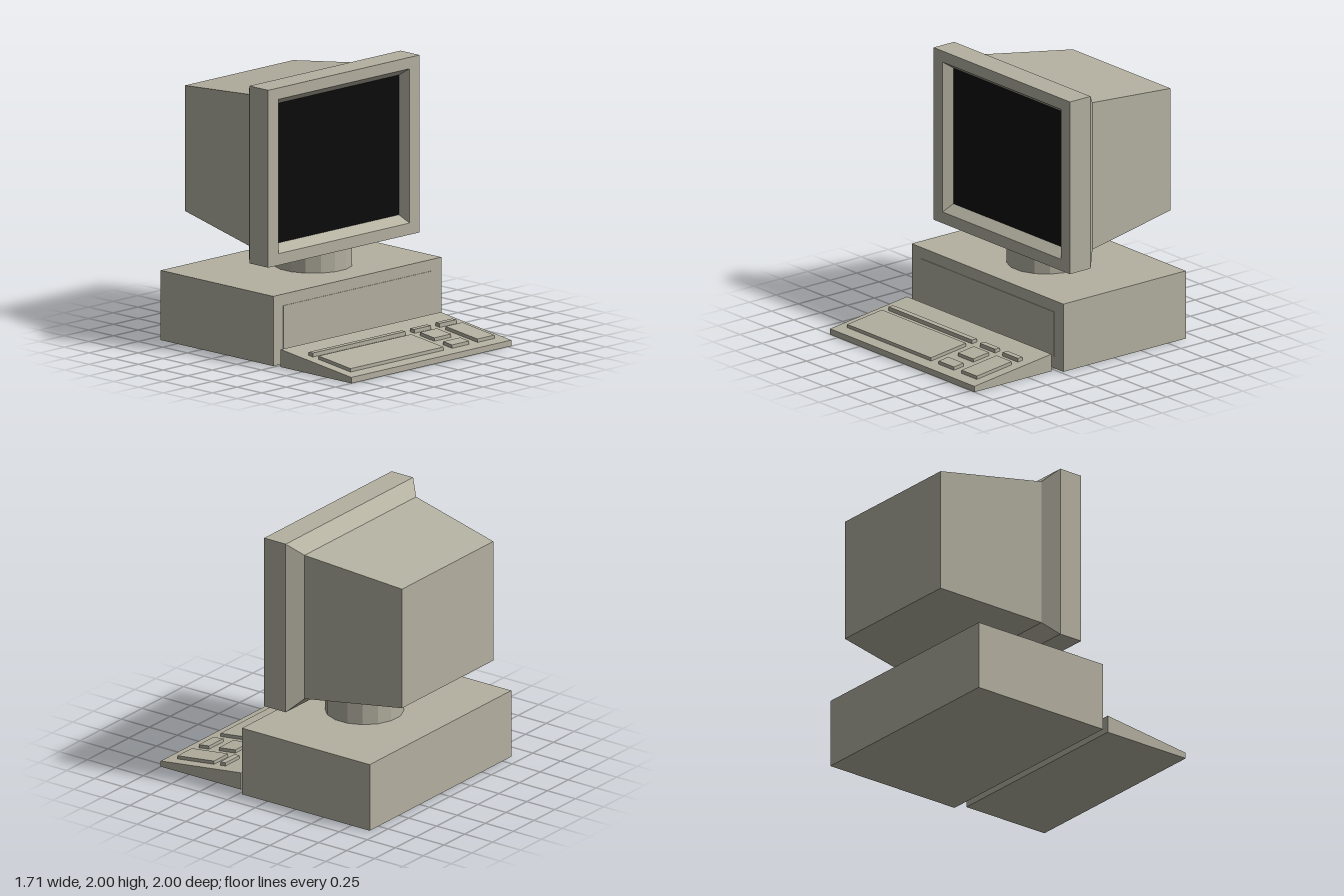
import * as THREE from 'three';

const casing = new THREE.MeshStandardMaterial({ color: 0xb4b1a1 });
casing.name = 'beige casing';
const glass = new THREE.MeshStandardMaterial({ color: 0x0b0b0b });
glass.name = 'black glass';

function add(parent, name, geometry, material = casing) {
  const mesh = new THREE.Mesh(geometry, material);
  mesh.name = name;
  parent.add(mesh);
  return mesh;
}

function box(x0, x1, y0, y1, z0, z1) {
  return new THREE.BoxGeometry(x1 - x0, y1 - y0, z1 - z0)
    .translate((x0 + x1) / 2, (y0 + y1) / 2, (z0 + z1) / 2);
}

// Flat-faced skin over rectangular rings [x0, x1, y0, y1, z], closed at the last one
function loftRings(rings) {
  const loops = rings.map(([x0, x1, y0, y1, z]) =>
    [[x0, y0, z], [x1, y0, z], [x1, y1, z], [x0, y1, z]]);
  const pos = [];
  const quad = (a, b, c, d) => pos.push(...a, ...b, ...c, ...a, ...c, ...d);
  for (let r = 0; r < loops.length - 1; r++) {
    for (let i = 0; i < 4; i++) {
      const j = (i + 1) % 4;
      quad(loops[r][i], loops[r + 1][i], loops[r + 1][j], loops[r][j]);
    }
  }
  const [a, b, c, d] = loops[loops.length - 1];
  quad(d, c, b, a);
  const geometry = new THREE.BufferGeometry();
  geometry.setAttribute('position', new THREE.Float32BufferAttribute(pos, 3));
  geometry.computeVertexNormals();
  return geometry;
}

// Box whose top and bottom follow height functions of z
function slopedBox(x0, x1, z0, z1, bottom, top) {
  const geometry = box(x0, x1, 0, 1, z0, z1);
  const p = geometry.attributes.position;
  for (let i = 0; i < p.count; i++) {
    p.setY(i, (p.getY(i) > 0.5 ? top : bottom)(p.getZ(i)));
  }
  const flat = geometry.toNonIndexed();
  flat.computeVertexNormals();
  return flat;
}

export function createModel() {
  const model = new THREE.Group();
  model.name = 'desktopComputer';

  // System unit with a shallow front panel
  const unit = new THREE.Group();
  unit.name = 'systemUnit';
  model.add(unit);
  add(unit, 'unitCase', box(-0.855, 0.855, 0, 0.515, -0.915, 0.226));
  add(unit, 'frontPanel', box(-0.755, 0.755, 0.09, 0.43, 0.226, 0.23));

  // Faceted monitor stand
  const stand = new THREE.CylinderGeometry(0.285, 0.285, 0.195, 16)
    .rotateY(Math.PI / 16).translate(0.053, 0.6075, -0.275).toNonIndexed();
  stand.computeVertexNormals();
  add(model, 'monitorStand', stand);

  // Monitor: bevelled opening, bezel, shoulder and tapering back
  const monitor = new THREE.Group();
  monitor.name = 'monitor';
  model.add(monitor);
  add(monitor, 'monitorCase', loftRings([
    [-0.64, 0.635, 0.83, 1.862, 0.015],
    [-0.67, 0.667, 0.776, 1.916, 0.092],
    [-0.772, 0.768, 0.69, 2, 0.092],
    [-0.772, 0.768, 0.69, 2, -0.1],
    [-0.677, 0.672, 0.787, 1.905, -0.197],
    [-0.523, 0.58, 0.883, 1.81, -1],
  ]));
  add(monitor, 'screen',
    new THREE.PlaneGeometry(1.275, 1.032).translate(-0.0025, 1.346, 0.015), glass);

  // Wedge keyboard
  const keyboard = new THREE.Group();
  keyboard.name = 'keyboard';
  model.add(keyboard);
  const surface = (z) => 0.13 - (z - 0.284) * 0.12;
  add(keyboard, 'keyboardCase', slopedBox(-0.838, 0.79, 0.284, 1, () => 0, surface));

  // Key blocks [name, x0, x1, z0, z1]
  const blocks = [
    ['mainKeys', -0.755, 0.19, 0.585, 0.91],
    ['editKeys', 0.278, 0.45, 0.585, 0.73],
    ['arrowKeys', 0.278, 0.45, 0.82, 0.91],
    ['numberKeys', 0.536, 0.708, 0.585, 0.91],
  ];
  for (const [name, x0, x1, z0, z1] of blocks) {
    add(keyboard, name, slopedBox(x0, x1, z0, z1, surface, (z) => surface(z) + 0.025));
  }

  // Level bars along the top row
  for (const [x0, x1] of [[-0.755, 0.19], [0.278, 0.45], [0.536, 0.708]]) {
    add(keyboard, 'functionKeys', slopedBox(x0, x1, 0.483, 0.527, surface, () => 0.13));
  }

  return model;
}
